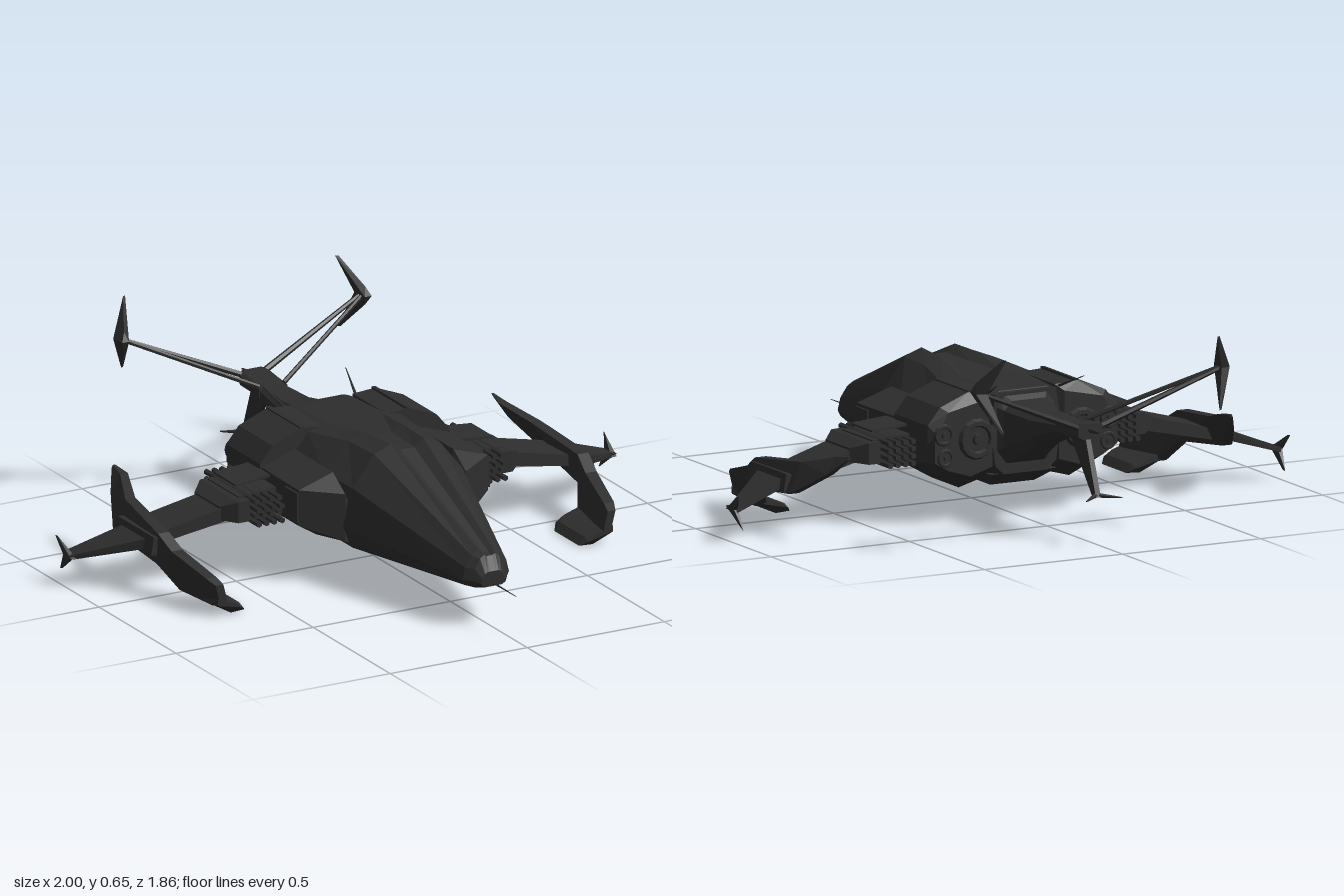
import * as THREE from 'three';
import { ConvexGeometry } from 'three/addons/geometries/ConvexGeometry.js';

export function createModel() {
  const root = new THREE.Group();
  root.name = 'fighter';
  const dark = new THREE.MeshStandardMaterial({ color: 0x2e2e2e, flatShading: true });
  dark.name = 'charcoal';

  const add = (name, geo) => {
    const m = new THREE.Mesh(geo, dark);
    m.name = name;
    root.add(m);
    return m;
  };
  const V = (p) => new THREE.Vector3(...p);
  const hull = (name, pts) => add(name, new ConvexGeometry(pts.map(V)));
  // tapered rod between two points
  const rod = (name, a, b, r1, r2 = r1, sides = 6) => {
    const d = V(b).sub(V(a));
    const m = add(name, new THREE.CylinderGeometry(r2, r1, d.length(), sides));
    m.position.copy(V(a)).addScaledVector(d, 0.5);
    m.quaternion.setFromUnitVectors(new THREE.Vector3(0, 1, 0), d.normalize());
    return m;
  };
  // symmetric body from half profiles (bottom to top), sections from back to front
  const loft = (name, sections) => {
    const rings = sections.map(([z, half]) => [
      ...half.map(([x, y]) => [x, y, z]),
      ...[...half].reverse().map(([x, y]) => [-x, y, z])
    ]);
    const out = [], n = rings[0].length;
    const tri = (a, b, c) => out.push(...a, ...b, ...c);
    for (let k = 0; k < rings.length - 1; k++) {
      const A = rings[k], B = rings[k + 1];
      for (let i = 0; i < n; i++) {
        const j = (i + 1) % n;
        tri(A[i], A[j], B[j]);
        tri(A[i], B[j], B[i]);
      }
    }
    // end caps, zipped across the two halves
    for (let i = 0; i < n / 2 - 1; i++) {
      const m = n - 1 - i, F = rings[rings.length - 1], R = rings[0];
      tri(F[i], F[i + 1], F[m - 1]); tri(F[i], F[m - 1], F[m]);
      tri(R[i], R[m - 1], R[i + 1]); tri(R[i], R[m], R[m - 1]);
    }
    const g = new THREE.BufferGeometry();
    g.setAttribute('position', new THREE.Float32BufferAttribute(out, 3));
    g.computeVertexNormals();
    return add(name, g);
  };

  // central fuselage with twin canopy ridges and a shallow groove between
  loft('fuselage', [
    [-0.36, [[0.08, 0.15], [0.11, 0.18], [0.12, 0.25], [0.12, 0.35], [0.11, 0.41], [0.09, 0.415], [0.04, 0.415]]],
    [-0.12, [[0.12, 0.11], [0.2, 0.13], [0.22, 0.2], [0.22, 0.35], [0.17, 0.41], [0.1, 0.425], [0.05, 0.425]]],
    [0.07, [[0.13, 0.11], [0.2, 0.13], [0.23, 0.2], [0.22, 0.34], [0.13, 0.43], [0.07, 0.45], [0.03, 0.43]]],
    [0.22, [[0.13, 0.11], [0.2, 0.13], [0.225, 0.2], [0.2, 0.33], [0.12, 0.43], [0.06, 0.455], [0.025, 0.43]]],
    [0.73, [[0.06, 0.135], [0.075, 0.14], [0.085, 0.16], [0.075, 0.2], [0.05, 0.235], [0.025, 0.25], [0.01, 0.24]]],
    [0.755, [[0.05, 0.135], [0.06, 0.14], [0.065, 0.16], [0.055, 0.2], [0.035, 0.23], [0.02, 0.24], [0.01, 0.235]]],
    [0.78, [[0.03, 0.14], [0.04, 0.145], [0.045, 0.155], [0.04, 0.17], [0.03, 0.185], [0.02, 0.19], [0.01, 0.188]]]
  ]);
  rod('noseProbe', [0, 0.15, 0.76], [0, 0.15, 0.93], 0.004, 0.001);

  // tail boom and tail block
  loft('tailBoom', [
    [-0.66, [[0.03, 0.33], [0.048, 0.345], [0.048, 0.36], [0.035, 0.37]]],
    [-0.5, [[0.04, 0.265], [0.06, 0.29], [0.065, 0.35], [0.045, 0.37]]],
    [-0.38, [[0.06, 0.2], [0.09, 0.24], [0.09, 0.36], [0.06, 0.39]]],
    [-0.34, [[0.08, 0.17], [0.12, 0.22], [0.12, 0.38], [0.09, 0.418]]]
  ]);
  loft('tailBlock', [
    [-0.79, [[0.03, 0.335], [0.045, 0.345], [0.045, 0.375], [0.035, 0.385]]],
    [-0.77, [[0.035, 0.33], [0.054, 0.345], [0.054, 0.375], [0.04, 0.385]]],
    [-0.65, [[0.035, 0.33], [0.052, 0.34], [0.052, 0.365], [0.04, 0.37]]]
  ]);
  hull('lowerFin', [-0.009, 0.009].flatMap((x) => [[x, 0.34, -0.66], [x, 0.34, -0.77], [x, 0.155, -0.815], [x, 0.155, -0.84]]));
  rod('tailSpike', [0, 0.365, -0.78], [0, 0.365, -0.85], 0.012, 0.003);
  hull('bellyKeel', [-1, 1].flatMap((s) => [[s * 0.08, 0.1, -0.27], [s * 0.08, 0.1, 0.1], [s * 0.12, 0.15, -0.35], [s * 0.13, 0.13, 0.2]]));

  for (const s of [1, -1]) {
    const side = s > 0 ? 'left' : 'right';
    const P = (pts) => pts.map(([x, y, z]) => [s * x, y, z]);
    const part = (name, pts) => hull(side + name, P(pts));
    const bar = (name, a, b, ...r) => rod(side + name, ...P([a, b]), ...r);
    const prism = (outline, z0, z1) => [z0, z1].flatMap((z) => outline.map(([x, y]) => [x, y, z]));

    // flared cheek beside the cockpit
    part('Cheek', [
      [0.12, 0.11, 0.2], [0.22, 0.15, 0.21], [0.22, 0.31, 0.21],
      ...prism([[0.12, 0.11], [0.28, 0.16], [0.345, 0.2], [0.345, 0.32], [0.22, 0.36]], 0.05, 0.13),
      ...prism([[0.12, 0.11], [0.28, 0.16], [0.34, 0.2], [0.34, 0.32], [0.22, 0.36]], -0.14, -0.13)
    ]);
    // engine housing: upper box and lower bay
    part('EngineUpper', [
      ...prism([[0.115, 0.27], [0.345, 0.27], [0.345, 0.33], [0.3, 0.385], [0.2, 0.425], [0.115, 0.42]], -0.34, -0.12),
      [0.14, 0.3, -0.36], [0.32, 0.3, -0.36], [0.14, 0.4, -0.36], [0.28, 0.37, -0.36]
    ]);
    part('EngineLower', [
      ...prism([[0.11, 0.13], [0.2, 0.105], [0.28, 0.15], [0.345, 0.2], [0.345, 0.3], [0.11, 0.3]], -0.28, -0.1),
      ...prism([[0.12, 0.18], [0.2, 0.155], [0.28, 0.18], [0.33, 0.21], [0.33, 0.3], [0.12, 0.3]], -0.36, -0.35)
    ]);
    part('EngineRib', prism([[0.185, 0.41], [0.185, 0.432], [0.2, 0.43], [0.2, 0.41]], -0.34, -0.12));
    part('CheekPanel', prism([[0.33, 0.21], [0.352, 0.21], [0.352, 0.31], [0.33, 0.31]], 0.05, 0.13));

    // exhaust nozzles, one large and two small
    for (const [x, y, r, z] of [[0.19, 0.28, 0.066, -0.4], [0.3, 0.3, 0.036, -0.375], [0.295, 0.225, 0.03, -0.375]]) {
      bar('NozzleNeck', [x, y, -0.3], [x, y, z + r * 0.2], r * 0.82, r * 0.82, 14);
      const rim = add(side + 'NozzleRim', new THREE.TorusGeometry(r * 0.8, r * 0.22, 6, 14));
      rim.position.set(s * x, y, z + r * 0.25);
      bar('NozzleCore', [x, y, -0.35], [x, y, z], r * 0.4, r * 0.25, 10);
    }
    bar('RearAntenna', [0.12, 0.4, -0.31], [0.157, 0.465, -0.46], 0.006, 0.001);

    // cooling rods bundled along the wing root
    for (let i = 0; i < 4; i++)
      for (let j = 0; j < 4; j++)
        bar('CoolingRod', [0.365 + i * 0.028, 0.2 + j * 0.024, -0.285], [0.365 + i * 0.028, 0.2 + j * 0.024, 0.06 - (j % 2) * 0.015], 0.01);
    part('WingSpar', prism([[0.33, 0.2], [0.48, 0.2], [0.48, 0.275], [0.33, 0.285]], -0.22, -0.02));
    part('RootVane', prism([[0.33, 0.305], [0.33, 0.314], [0.47, 0.302], [0.47, 0.296]], -0.2, -0.06));
    part('WingRoot', [
      ...prism([[0.45, 0.2], [0.45, 0.272], [0.5, 0.27], [0.5, 0.2]], -0.235, 0.015),
      ...prism([[0.545, 0.205], [0.545, 0.25]], -0.19, -0.03)
    ]);

    // wing panels and tip fin
    part('InnerWing', [
      ...prism([[0.5, 0.205], [0.5, 0.255]], -0.18, -0.02),
      ...prism([[0.79, 0.145], [0.79, 0.18]], -0.22, -0.06)
    ]);
    part('WingCollar', prism([[0.775, 0.135], [0.765, 0.195], [0.8, 0.2], [0.81, 0.14]], -0.235, 0.0));
    part('OuterWing', [
      ...prism([[0.79, 0.15], [0.79, 0.185]], -0.2, -0.04),
      ...prism([[0.985, 0.095], [0.988, 0.11]], -0.25, -0.2)
    ]);
    part('TipFinUpper', [[0.975, 0.1, -0.19], [0.995, 0.1, -0.19], [0.978, 0.1, -0.24], [0.995, 0.1, -0.24], [1, 0.155, -0.285], [0.997, 0.155, -0.275]]);
    part('TipFinLower', [[0.975, 0.11, -0.19], [0.995, 0.11, -0.19], [0.978, 0.11, -0.24], [0.995, 0.11, -0.24], [0.982, 0.04, -0.285], [0.979, 0.042, -0.275]]);

    // curled blade pod: z, upper x y, lower x y, half thickness
    const blade = [
      [-0.455, 0.69, 0.285, 0.695, 0.275, 0.004],
      [-0.39, 0.69, 0.275, 0.725, 0.22, 0.014],
      [-0.26, 0.74, 0.24, 0.785, 0.14, 0.018],
      [0.0, 0.765, 0.21, 0.77, 0.11, 0.02],
      [0.07, 0.755, 0.17, 0.725, 0.035, 0.02],
      [0.24, 0.725, 0.125, 0.7, 0.03, 0.018],
      [0.275, 0.715, 0.11, 0.7, 0.05, 0.014]
    ];
    const cut = ([z, ux, uy, lx, ly, t]) => [[ux - t, uy, z], [ux + t, uy, z], [lx - t, ly, z], [lx + t, ly, z]];
    for (let i = 0; i < blade.length - 1; i++) part('PodBlade', [...cut(blade[i]), ...cut(blade[i + 1])]);
    part('PodFoot', [
      ...prism([[0.61, 0.003], [0.63, 0.03], [0.66, 0.04], [0.72, 0.06], [0.73, 0.04], [0.66, 0.0]], 0.09, 0.25),
      ...prism([[0.63, 0.02], [0.66, 0.04], [0.72, 0.06], [0.72, 0.04]], 0.062, 0.275)
    ]);

    // tail struts, boomerang fins and lower prong
    bar('FrontStrut', [0.045, 0.37, -0.66], [0.44, 0.54, -0.85], 0.008, 0.007);
    bar('RearStrut', [0.045, 0.375, -0.78], [0.44, 0.54, -0.86], 0.011, 0.007);
    for (const [tx, ty] of [[0.383, 0.655], [0.39, 0.415]])
      part('TailFin', [
        [0.455, 0.54, -0.82], [0.43, 0.54, -0.82], [0.46, 0.54, -0.87], [0.425, 0.54, -0.88],
        [0.44, 0.54 + Math.sign(ty - 0.54) * 0.03, -0.835],
        [tx, ty, -0.93], [tx + 0.01, ty, -0.925]
      ]);
    bar('LowerProng', [0, 0.16, -0.825], [0.065, 0.155, -0.88], 0.009, 0.002);
  }
  return root;
}
